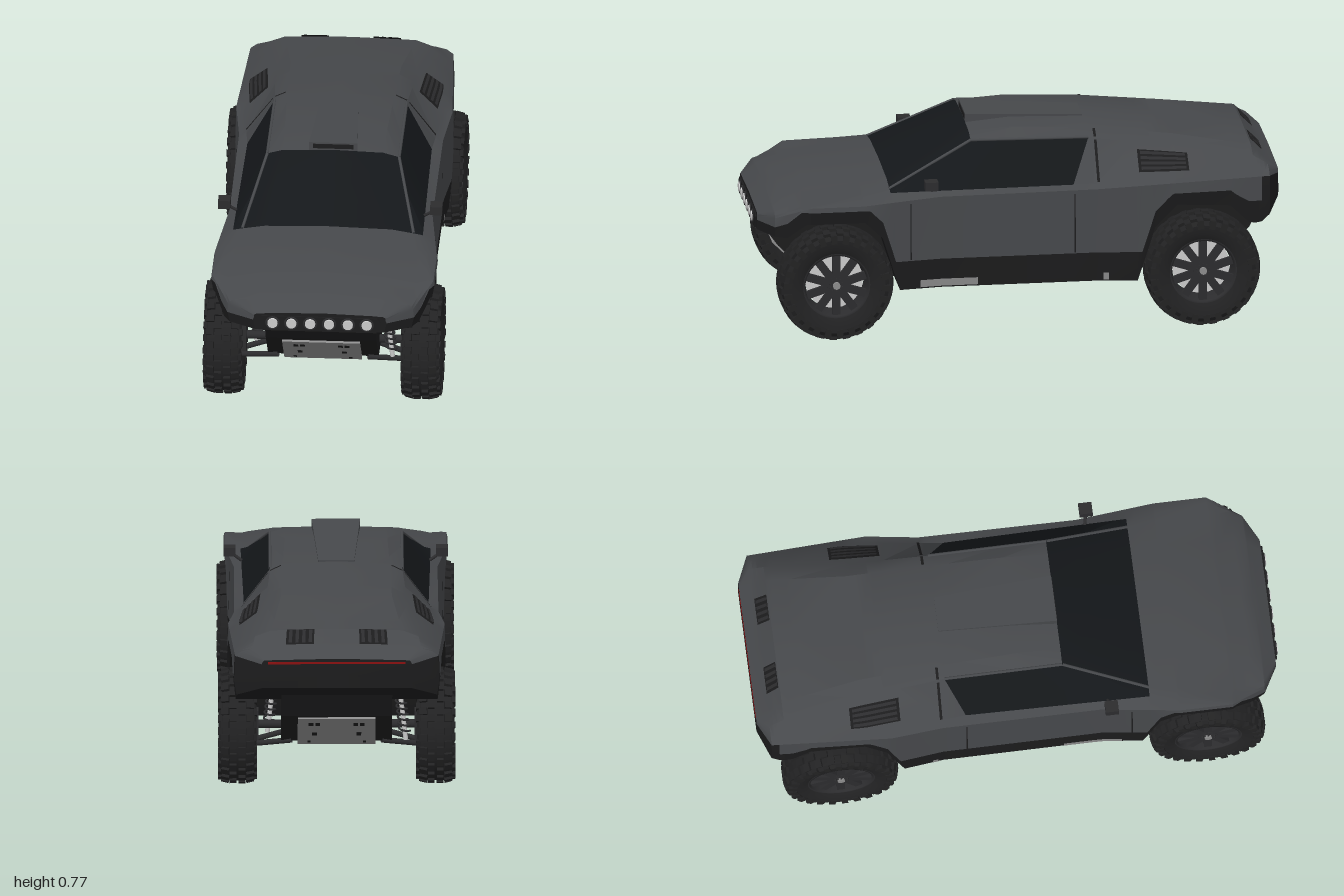
import * as THREE from 'three';
import { mergeGeometries, toCreasedNormals } from 'three/addons/utils/BufferGeometryUtils.js';

const mat = (color) => new THREE.MeshStandardMaterial({ color, side: THREE.DoubleSide });
const M = {
  paint: mat(0x46484b), trim: mat(0x1c1c1d), glass: mat(0x14171a), tire: mat(0x222223),
  rim: mat(0x2c2c2e), metal: mat(0x8c8c8c), light: mat(0xcccccc), red: mat(0x8a1010),
};
const V = (x, y, z) => new THREE.Vector3(x, y, z);
const WHEEL_Z = [.705, -.695];

// Body guide lines from nose to tail: [z, value...]
const centreY = [[.985, .475], [.93, .515], [.8, .555], [.49, .587], [.17, .745], [0, .757],
  [-.3, .742], [-.6, .71], [-.9, .665], [-.955, .61], [-1, .577]];
const creaseX = [[.985, .2], [.93, .23], [.49, .24], [.17, .19], [-.6, .21], [-1, .26]];
const roofEdge = [[.985, .24, .466], [.93, .33, .495], [.8, .36, .527], [.49, .325, .567], [.17, .25, .722],
  [-.28, .25, .715], [-.6, .27, .672], [-.9, .31, .635], [-.955, .32, .604], [-1, .275, .57]];
const belt = [[.985, .25, .46], [.93, .345, .485], [.8, .4, .532], [.49, .36, .56], [-.21, .35, .56],
  [-.6, .39, .582], [-.955, .36, .594], [-1, .28, .565]];
const shoulder = [[.985, .25, .45], [.93, .35, .475], [.8, .42, .53], [.6, .42, .53], [.3, .385, .545],
  [-.3, .387, .55], [-.5, .41, .565], [-.955, .385, .575], [-1, .285, .555]];

function sample(line, z) {
  let i = 0;
  while (i < line.length - 2 && z < line[i + 1][0]) i++;
  const [a, b] = [line[i], line[i + 1]], t = (a[0] - z) / (a[0] - b[0]);
  return a.slice(1).map((v, k) => v + (b[k + 1] - v) * t);
}

// Height of a faceted arch over either wheel
const arch = (z, top, kneeY, base) => Math.max(base, ...WHEEL_Z.map((w) => {
  const d = .18 - Math.abs(z - w);
  return Math.min(top, kneeY + d, kneeY + d * 3.2);
}));

// Half cross-section from the centre line down to the underside
function section(z) {
  const [y] = sample(centreY, z), [cx] = sample(creaseX, z), s = sample(shoulder, z);
  const atEnd = Math.abs(z) > .8, front = z > 0;
  const lipY = Math.max(arch(z, front ? .512 : .527, .46, .3), atEnd ? (front ? .44 : .48) : 0);
  const lowY = Math.max(arch(z, front ? .463 : .485, .395, .185),
    atEnd ? (front ? .4 : .39 + .9 * Math.max(0, -.92 - z)) : 0);
  return [[0, y], [cx, y - .006], sample(roofEdge, z), sample(belt, z), s,
    [s[0] + .004, lipY], [s[0] - .005, lowY], [0, lowY]].map((p) => V(p[0], p[1], z));
}

function add(parent, name, geo, material, x = 0, y = 0, z = 0) {
  const m = new THREE.Mesh(geo, material);
  m.name = name;
  m.position.set(x, y, z);
  parent.add(m);
}

// Shell lofted over the sections; every triangle is mirrored across x
function buildBody(group) {
  const lists = {};
  const tri = (key, ...p) => {
    const list = (lists[key] ??= []);
    p.forEach((v) => list.push(v.x, v.y, v.z));
    [p[2], p[1], p[0]].forEach((v) => list.push(-v.x, v.y, v.z));
  };
  const archZ = WHEEL_Z.flatMap((w) => [.11, .13, .18, .23, .246].flatMap((d) => [w - d, w + d]));
  const lineZ = [centreY, creaseX, roofEdge, belt, shoulder].flat().map((k) => k[0]);
  const zs = [...new Set([...lineZ, ...archZ])].sort((a, b) => b - a);
  const secs = zs.map(section);
  for (let i = 0; i < zs.length - 1; i++) {
    const zm = (zs[i] + zs[i + 1]) / 2;
    for (let j = 0; j < 7; j++) {
      let key = 'paint';
      if (zm < .49 && ((j < 2 && zm > .17) || (j === 2 && zm > -.28))) key = 'glass';
      if (j >= 5 || (j === 4 && zm < -.93)) key = 'trim';
      const a = secs[i][j], b = secs[i][j + 1], c = secs[i + 1][j + 1], d = secs[i + 1][j];
      tri(key, a, b, d);
      tri(key === 'glass' && zm < -.21 ? 'paint' : key, b, c, d);
    }
  }
  // end caps
  const [nose, tail] = [secs[0], secs[secs.length - 1]];
  for (let j = 0; j < 7; j++) {
    tri('trim', V(0, .44, .985), nose[j + 1], nose[j]);
    tri('trim', V(0, .52, -1), tail[j], tail[j + 1]);
  }
  // patches raised slightly off the shell: row, span down the row, span along z
  const patch = (key, j, t0, t1, z0, z1, off = .003) => {
    const at = (t, z) => {
      const s = section(z), e = s[j + 1].clone().sub(s[j]);
      return s[j].clone().lerp(s[j + 1], t).addScaledVector(V(-e.y, e.x, 0).normalize(), off);
    };
    for (let i = 0; i < 6; i++) {
      const za = z0 + (z1 - z0) * i / 6, zb = z0 + (z1 - z0) * (i + 1) / 6;
      tri(key, at(t0, za), at(t1, za), at(t1, zb));
      tri(key, at(t0, za), at(t1, zb), at(t0, zb));
    }
  };
  // panel gaps
  patch('trim', 2, .05, .98, -.3, -.31);
  patch('trim', 1, .1, .95, -.3, -.31);
  for (const z of [.42, -.208]) patch('trim', 4, .05, .98, z, z - .005);
  // side louvres, tail vents and sill plates
  patch('trim', 2, .2, .8, -.46, -.65, .005);
  patch('trim', 0, .34, .76, -.905, -.95, .008);
  for (let k = 0; k < 4; k++) {
    patch('rim', 2, .25 + k * .14, .33 + k * .14, -.47, -.64, .009);
    patch('rim', 0, .37 + k * .1, .42 + k * .1, -.908, -.947, .011);
  }
  patch('metal', 5, .7, .95, .38, .16);
  patch('metal', 5, .7, .95, -.32, -.34);

  const names = { paint: 'bodyPanels', glass: 'windows', trim: 'bodyTrim', metal: 'sillPlates', rim: 'louvres' };
  for (const key in lists) {
    const g = new THREE.BufferGeometry();
    g.setAttribute('position', new THREE.Float32BufferAttribute(lists[key], 3));
    add(group, names[key], toCreasedNormals(g, .45), M[key]);
  }
}

const box = (w, h, d) => new THREE.BoxGeometry(w, h, d);
const tube = (pts, r, n = 1) => new THREE.TubeGeometry(new THREE.CatmullRomCurve3(pts), n, r, 8);
const lathe = (pts) => new THREE.LatheGeometry(pts.map((p) => new THREE.Vector2(...p)), 48).rotateZ(-Math.PI / 2);
const disc = (r, w) => new THREE.CylinderGeometry(r, r, w, 24).rotateZ(Math.PI / 2);
const prism = (pts, depth) => new THREE.ExtrudeGeometry(
  new THREE.Shape(pts.map((p) => new THREE.Vector2(...p))), { depth, bevelEnabled: false });

// Wheel with its axle along x and its outer face towards +x
function makeWheel() {
  const w = new THREE.Group();
  w.name = 'wheel';
  const half = [[.125, .055], [.15, .068], [.185, .071], [.203, .058], [.209, .03]];
  const profile = [...half.map(([r, x]) => [r, -x]), ...half.reverse(), [.125, -.055]];
  add(w, 'tire', toCreasedNormals(lathe(profile), .6), M.tire);
  // staggered lugs: centre, shoulder and sidewall rows
  const lugs = [], N = 26;
  for (let i = 0; i < N; i++) {
    for (const s of [-1, 1]) {
      const a = (i + s / 4) / N * Math.PI * 2, b = (i - s / 4) / N * Math.PI * 2;
      lugs.push(box(.026, .014, .03).translate(s * .017, .213, 0).rotateX(a));
      lugs.push(box(.03, .014, .026).rotateZ(-s * .25).translate(s * .047, .209, 0).rotateX(b));
      lugs.push(box(.014, .034, .024).translate(s * .067, .188, 0).rotateX(a));
    }
  }
  add(w, 'tread', mergeGeometries(lugs), M.tire);
  add(w, 'rimBarrel', lathe([[.118, -.055], [.112, 0], [.12, .058], [.128, .058]]), M.rim);
  add(w, 'brakeDisc', disc(.11, .008), M.light, -.02);
  const spokes = [];
  for (let i = 0; i < 10; i++) {
    const a = i / 10 * Math.PI * 2;
    spokes.push(box(.014, .09, .03).translate(.042, .072, 0).rotateX(a));
    spokes.push(disc(.004, .008).translate(.054, .024, 0).rotateX(a));
  }
  add(w, 'spokes', mergeGeometries(spokes), M.rim);
  add(w, 'hub', disc(.036, .07), M.rim, .015);
  add(w, 'hubCap', disc(.014, .012), M.metal, .054);
  return w;
}

// Arms, half shaft and coil-over for the +x side
function makeSuspension() {
  const s = new THREE.Group();
  s.name = 'suspension';
  for (const z of [-.07, .07]) add(s, 'lowerArm', tube([V(.17, .185, z), V(.33, .155, z * .3)], .011), M.rim);
  add(s, 'halfShaft', disc(.016, .16), M.rim, .27, .228);
  add(s, 'upright', box(.03, .13, .05), M.rim, .31, .22);
  add(s, 'damper', tube([V(.262, .18, .05), V(.24, .37, .05)], .009), M.light);
  const coil = Array.from({ length: 61 }, (_, i) => {
    const a = i / 10 * Math.PI * 2, t = i / 60;
    return V(.258 - .016 * t + .02 * Math.cos(a), .215 + .13 * t, .05 + .02 * Math.sin(a));
  });
  add(s, 'spring', tube(coil, .004, 120), M.rim);
  return s;
}

// Sloped underride plate with square cutouts
function makeSkidPlate() {
  const g = new THREE.Group();
  g.name = 'skidPlate';
  add(g, 'plate', box(.295, .2, .008), M.metal);
  for (const s of [-1, 1]) {
    for (const [x, y] of [[.072, .057], [.097, .057], [.084, -.018], [.105, -.08]]) {
      const d = y < -.05 ? .012 : .018;
      add(g, 'plateSlot', box(d, d * 1.35, .01), M.trim, s * x, y);
    }
  }
  g.position.set(0, .244, .84);
  g.rotation.x = Math.PI / 4;
  return g;
}

export function createModel() {
  const car = new THREE.Group();
  car.name = 'offRoadCar';
  buildBody(car);

  // central tub under the shell
  const tub = [[.965, .41], [.9, .32], [.76, .18], [-.76, .18], [-.9, .32], [-.98, .47], [-.9, .5], [.9, .45]];
  add(car, 'chassisTub', prism(tub, .42).rotateY(-Math.PI / 2), M.trim, .21);

  // front lamp bar and tail strip
  const bar = [[-.23, .445], [-.215, .4], [.215, .4], [.23, .445], [.22, .46], [-.22, .46]];
  add(car, 'lampBar', prism(bar, .03), M.trim, 0, 0, .962);
  for (let i = 0; i < 6; i++) {
    const x = (i - 2.5) * .0715;
    add(car, 'lampRing', new THREE.TorusGeometry(.024, .004, 6, 24), M.rim, x, .433, .993);
    add(car, 'lamp', new THREE.CylinderGeometry(.019, .021, .02, 24).rotateX(Math.PI / 2), M.light, x, .433, .99);
  }
  add(car, 'tailLight', box(.52, .008, .008), M.red, 0, .56, -.998);

  // roof scoop, tapered towards the tail
  const scoop = box(.18, .04, .45);
  const p = scoop.attributes.position;
  for (let i = 0; i < p.count; i++) {
    const back = p.getZ(i) < 0, up = p.getY(i) > 0;
    p.setXYZ(i, Math.sign(p.getX(i)) * (back ? .068 : .092), up ? (back ? .748 : .775) : .725, back ? -.28 : .17);
  }
  scoop.computeVertexNormals();
  add(car, 'roofScoop', scoop, M.paint);
  add(car, 'scoopIntake', box(.155, .018, .004), M.trim, 0, .76, .17);

  for (const s of [1, -1]) {
    // window frames and mirrors
    const frame = [.49, .17, -.28].map((z) => section(z)[2].multiply(V(s, 1, 1)));
    add(car, 'windscreenPillar', tube(frame.slice(0, 2), .006), M.paint);
    add(car, 'roofRail', tube(frame.slice(1), .006), M.paint);
    add(car, 'mirror', box(.046, .034, .05), M.rim, s * .402, .598, .34);
    add(car, 'mirrorStalk', tube([V(s * .35, .558, .33), V(s * .395, .588, .34)], .006), M.rim);
    for (const z of WHEEL_Z) {
      const wheel = makeWheel(), arms = makeSuspension();
      wheel.position.set(s * .375, .222, z);
      arms.position.z = z;
      if (s < 0) wheel.rotation.y = arms.rotation.y = Math.PI;
      car.add(wheel, arms);
    }
  }

  // matching plates at both ends
  for (const turn of [0, Math.PI]) {
    const end = new THREE.Group();
    end.name = turn ? 'rearUnderride' : 'frontUnderride';
    end.rotation.y = turn;
    end.add(makeSkidPlate());
    car.add(end);
  }
  return car;
}
